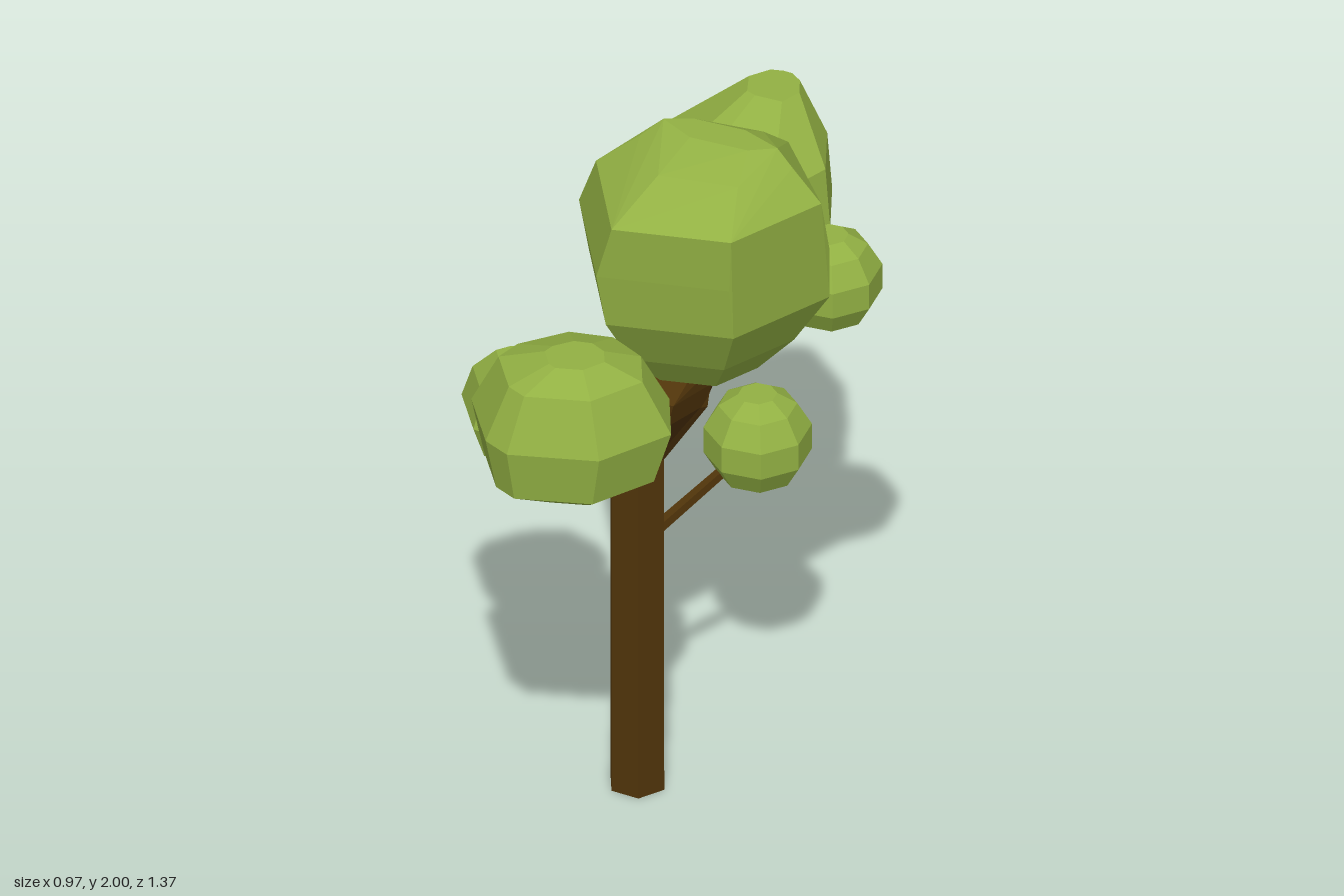
import * as THREE from 'three';
import { ConvexGeometry } from 'three/addons/geometries/ConvexGeometry.js';

const bark = new THREE.MeshStandardMaterial({ color: 0x50340a, flatShading: true });
bark.name = 'bark brown';
const leaf = new THREE.MeshStandardMaterial({ color: 0x92b043, flatShading: true });
leaf.name = 'leaf green';

// Faceted, capped limb following a path of [x, y, z, radius]
function limb(name, path, sides = 6) {
  const pts = path.map(p => new THREE.Vector3(p[0], p[1], p[2]));
  const pos = [], index = [], last = pts.length - 1;
  pts.forEach((p, i) => {
    const t = pts[Math.min(i + 1, last)].clone().sub(pts[Math.max(i - 1, 0)]).normalize();
    const u = new THREE.Vector3(1, 0, 0).addScaledVector(t, -t.x).normalize();
    const w = t.clone().cross(u);
    for (let j = 0; j < sides; j++) {
      const a = j / sides * Math.PI * 2;
      const v = p.clone().addScaledVector(u, Math.cos(a) * path[i][3]).addScaledVector(w, Math.sin(a) * path[i][3]);
      pos.push(v.x, v.y, v.z);
    }
  });
  for (let j = 0; j < sides; j++) {
    const k = (j + 1) % sides;
    for (let i = 0; i < last; i++) {
      const a = i * sides, b = a + sides;
      index.push(a + j, a + k, b + k, a + j, b + k, b + j);
    }
    if (j > 0 && k > 0) {
      index.push(0, k, j, last * sides, last * sides + j, last * sides + k);
    }
  }
  const indexed = new THREE.BufferGeometry();
  indexed.setAttribute('position', new THREE.Float32BufferAttribute(pos, 3));
  indexed.setIndex(index);
  const geo = indexed.toNonIndexed();
  geo.computeVertexNormals();
  const mesh = new THREE.Mesh(geo, bark);
  mesh.name = name;
  return mesh;
}

// Faceted lump: a plan outline of [x, z] scaled about its centre at
// each level of [y, scale, shiftX, shiftZ, scaleZ]
function lump(name, material, [cx, cz], outline, levels) {
  const pts = [];
  for (const [y, s, dx = 0, dz = 0, sz = s] of levels) {
    for (const [x, z] of outline) {
      pts.push(new THREE.Vector3(cx + (x - cx) * s + dx, y, cz + (z - cz) * sz + dz));
    }
  }
  const mesh = new THREE.Mesh(new ConvexGeometry(pts), material);
  mesh.name = name;
  return mesh;
}

// Small round tuft
function tuft(name, x, y, z, r) {
  const outline = [];
  for (let i = 0; i < 8; i++) {
    const a = (i + 0.3) / 8 * Math.PI * 2;
    outline.push([x + Math.cos(a) * r * 1.04, z + Math.sin(a) * r * 1.04]);
  }
  const levels = [[1, 0.36], [0.76, 0.72], [0.28, 0.99], [-0.28, 0.99], [-0.76, 0.72], [-1, 0.36]];
  return lump(name, leaf, [x, z], outline, levels.map(([h, s]) => [y + h * r, s]));
}

export function createModel() {
  const tree = new THREE.Group();
  tree.name = 'tree';

  // Trunk, flared fork and branches
  tree.add(
    limb('trunk', [[-0.045, 0, -0.06, 0.075], [-0.045, 0.98, -0.06, 0.075],
      [0.08, 1.19, -0.06, 0.075], [0.12, 1.45, -0.06, 0.065]]),
    lump('fork', bark, [0.075, -0.055],
      [[0.155, -0.055], [0.12, 0.08], [0.03, 0.08], [-0.005, -0.055], [0.03, -0.19], [0.12, -0.19]],
      [[1.01, 0.92, -0.105, -0.005, 0.48], [1.17, 1, -0.01, 0, 0.95], [1.24, 1, 0.01, 0, 1], [1.3, 0.9, 0.03, -0.02, 0.6]]),
    limb('frontBranch', [[0.06, 1.18, 0, 0.055], [0.06, 1.21, 0.09, 0.052], [0.05, 1.32, 0.4, 0.052]]),
    limb('backBranch', [[0.07, 1.19, -0.08, 0.06], [0.08, 1.29, -0.16, 0.062], [0.05, 1.5, -0.45, 0.055]]),
    limb('backLeftTwig', [[0.08, 1.3, -0.19, 0.025], [0.34, 1.45, -0.3, 0.018]], 5),
    limb('rightTwig', [[-0.06, 0.87, -0.09, 0.02], [-0.3, 1.05, 0, 0.016]], 5),
    limb('leftTwig', [[-0.01, 0.74, -0.05, 0.018], [0.19, 0.97, -0.22, 0.014]], 5),
  );

  // Large crowns
  tree.add(
    lump('topCrown', leaf, [0.16, 0],
      [[-0.16, 0.03], [-0.02, -0.21], [0.26, -0.3], [0.485, -0.07], [0.36, 0.22], [0.04, 0.315]],
      [[2, 0.48, 0.04, -0.03, 0.15], [1.96, 0.62, 0.04, 0, 0.48], [1.88, 0.9, 0.03, 0.03], [1.73, 1],
        [1.58, 0.96, 0.01, -0.01], [1.43, 0.7, 0, -0.02], [1.33, 0.42, 0, -0.02]]),
    lump('frontCrown', leaf, [0.04, 0.46],
      [[-0.21, 0.5], [-0.19, 0.4], [-0.07, 0.25], [0.08, 0.21], [0.22, 0.27], [0.3, 0.41], [0.2, 0.6], [-0.015, 0.68], [-0.09, 0.65]],
      [[1.59, 0.3, 0.02, 0.01], [1.54, 0.72], [1.4, 1], [1.26, 0.85, 0, 0.01], [1.17, 0.4, 0, -0.04]]),
    lump('backCrown', leaf, [0.04, -0.47],
      [[-0.2, -0.48], [-0.09, -0.65], [0.015, -0.685], [0.095, -0.685], [0.2, -0.62], [0.28, -0.46], [0.22, -0.27], [-0.02, -0.25], [-0.11, -0.28]],
      [[1.8, 0.3, 0.03, -0.09], [1.66, 0.92, 0, -0.01], [1.5, 1], [1.36, 0.72, 0, 0.02], [1.28, 0.28, 0, 0.05]]),
  );

  // Small tufts
  tree.add(
    lump('rightTuft', leaf, [-0.315, 0.015],
      [[-0.485, 0.035], [-0.41, -0.07], [-0.3, -0.14], [-0.18, -0.11], [-0.14, 0.05], [-0.27, 0.17], [-0.385, 0.16]],
      [[1.21, 0.3, -0.03, 0], [1.15, 0.83], [1.06, 1], [0.97, 0.8], [0.91, 0.35]]),
    tuft('backLeftTuft', 0.355, 1.46, -0.315, 0.127),
    tuft('leftTuft', 0.2, 0.99, -0.23, 0.13),
  );
  return tree;
}
